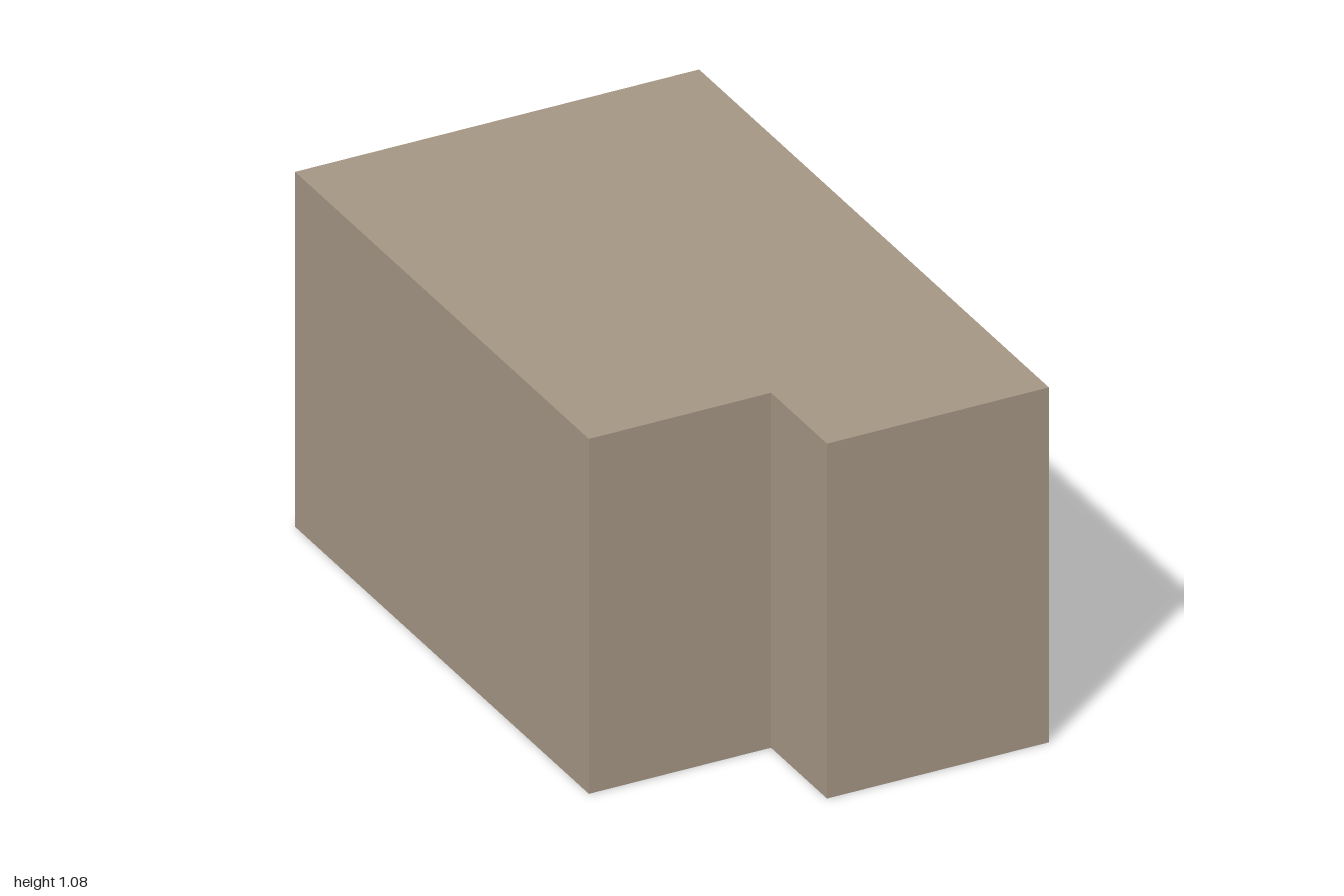
import * as THREE from 'three';

const HEIGHT = 1.08;

// Floor plan as [x, z] corners: a rectangle with a notch at the front right
const PLAN = [
  [-0.61, 0.68], [-0.06, 0.68], [-0.06, 1], [0.61, 1], [0.61, -1], [-0.61, -1],
];

export function createModel() {
  const model = new THREE.Group();
  model.name = 'building';

  // Plan drawn with y = -z, extruded and then stood upright
  const outline = new THREE.Shape(PLAN.map(([x, z]) => new THREE.Vector2(x, -z)));
  const geometry = new THREE.ExtrudeGeometry(outline, { depth: HEIGHT, bevelEnabled: false });
  geometry.rotateX(-Math.PI / 2);

  const block = new THREE.Mesh(geometry, new THREE.MeshStandardMaterial({ color: 0xa39583 }));
  block.name = 'buildingBlock';
  model.add(block);
  return model;
}
